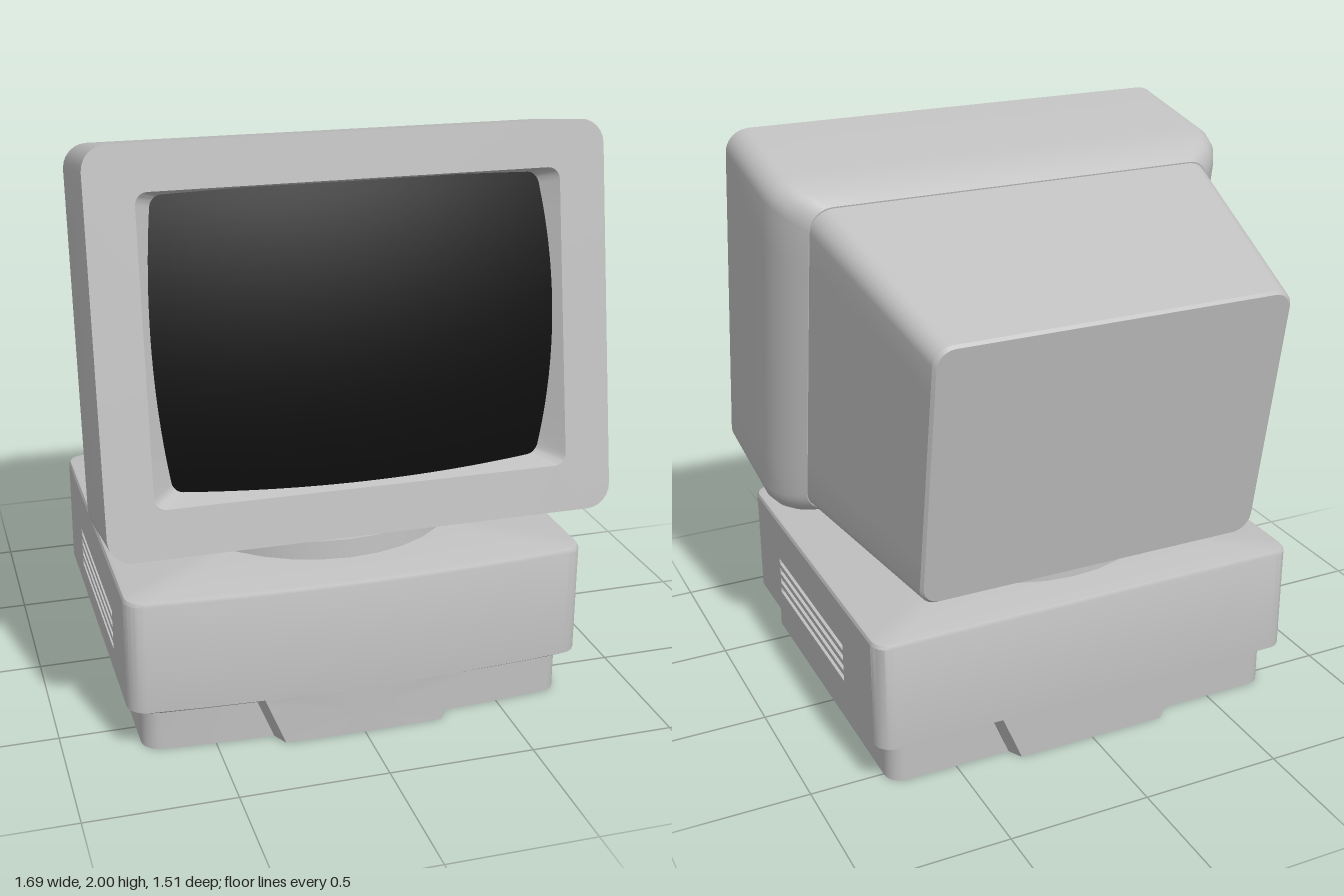
import * as THREE from 'three';
import { toCreasedNormals } from 'three/addons/utils/BufferGeometryUtils.js';

const EDGE = 8; // points along each straight edge
const ARC = 6;  // segments in each rounded corner

// Closed outline with each straight edge subdivided: corners are [cx, cy, radius, start angle]
function outline(corners) {
  const pts = [];
  corners.forEach(([cx, cy, r, a0], k) => {
    const at = (c, a) => [c[0] + c[2] * Math.cos(a), c[1] + c[2] * Math.sin(a)];
    const n = r > 0 ? ARC : 0;
    for (let i = 0; i <= n; i++) pts.push(at(corners[k], a0 + (n ? i / n : 0) * Math.PI / 2));
    const next = corners[(k + 1) % corners.length];
    const p = pts[pts.length - 1], q = at(next, next[3]);
    for (let i = 1; i < EDGE; i++) {
      pts.push([p[0] + (q[0] - p[0]) * i / EDGE, p[1] + (q[1] - p[1]) * i / EDGE]);
    }
  });
  return pts;
}

// Rounded rectangle from -hx to hx and y0 to y1
function roundRect(hx, y0, y1, r) {
  const q = Math.PI / 2;
  return outline([
    [hx - r, y1 - r, r, 0], [-hx + r, y1 - r, r, q],
    [-hx + r, y0 + r, r, 2 * q], [hx - r, y0 + r, r, 3 * q],
  ]);
}

// Skin over [depth, outline] sections along z, capped at both ends; skip leaves quads open
function loft(sections, skip = () => false) {
  const pos = [], idx = [], n = sections[0][1].length;
  for (const [d, pts] of sections) for (const [x, y] of pts) pos.push(x, y, d);
  for (let k = 0; k < sections.length - 1; k++) {
    for (let i = 0; i < n; i++) {
      if (skip(k, i)) continue;
      const j = (i + 1) % n, a = k * n, b = a + n;
      idx.push(a + i, a + j, b + j, a + i, b + j, b + i);
    }
  }
  [0, sections.length - 1].forEach((k, end) => {
    const [d, pts] = sections[k], c = pos.length / 3;
    pos.push(0, pts.reduce((s, p) => s + p[1], 0) / n, d);
    for (let i = 0; i < n; i++) {
      const a = k * n + i, b = k * n + (i + 1) % n;
      if (end) idx.push(c, a, b); else idx.push(c, b, a);
    }
  });
  const g = new THREE.BufferGeometry();
  g.setAttribute('position', new THREE.Float32BufferAttribute(pos, 3));
  g.setIndex(idx);
  return g;
}

// Gentle bow of the front of the base
function bow(g) {
  const p = g.attributes.position;
  for (let i = 0; i < p.count; i++) {
    const x = p.getX(i), z = p.getZ(i);
    if (z > 0) p.setZ(i, z + 0.04 * (1 - (x / 0.79) ** 2) * z / 0.7);
  }
  return g;
}

export function createModel() {
  const casing = new THREE.MeshStandardMaterial({ color: 0xc0c0c0 });
  casing.name = 'casing grey';
  const glass = new THREE.MeshStandardMaterial({ color: 0x0d0d0d });
  glass.name = 'screen black';

  const model = new THREE.Group();
  model.name = 'desktopComputer';
  const add = (parent, name, geometry, material = casing) => {
    const mesh = new THREE.Mesh(geometry, material);
    mesh.name = name;
    parent.add(mesh);
    return mesh;
  };
  const crease = (g) => toCreasedNormals(g, 0.55);

  // Monitor, tilted back about the middle of its front face
  const monitor = new THREE.Group();
  monitor.name = 'monitor';
  monitor.position.set(0, 1.3675, 0.6425);
  monitor.rotation.x = -0.175;
  model.add(monitor);

  // Front housing: rounded back edge, flat bezel, tapered screen recess
  const shoulder = [[-0.575, 0.1], [-0.555, 0.075], [-0.52, 0.042], [-0.47, 0.014], [-0.41, 0]];
  add(monitor, 'frontHousing', crease(loft([
    ...shoulder.map(([d, s]) => [d, roundRect(0.845 - s, -0.6425 + s / 2, 0.6425 - s / 2, 0.08)]),
    [0, roundRect(0.845, -0.6425, 0.6425, 0.08)],
    [0, roundRect(0.69, -0.485, 0.495, 0.04)],
    [-0.12, roundRect(0.57, -0.43, 0.465, 0.03)],
  ])));

  // Tapered rear shell
  add(monitor, 'rearShell', crease(loft([
    [-1.335, roundRect(0.617, -0.47, 0.47, 0.06)],
    [-1.325, roundRect(0.627, -0.479, 0.479, 0.065)],
    [-0.56, roundRect(0.745, -0.59, 0.59, 0.08)],
  ])));

  // Bulging screen, trimmed by the recess walls
  const screen = new THREE.PlaneGeometry(1.36, 0.97, 28, 20).translate(0, 0.005, 0);
  const sp = screen.attributes.position;
  for (let i = 0; i < sp.count; i++) {
    sp.setZ(i, 0.035 - 0.136 * sp.getX(i) ** 2 - 0.22 * (sp.getY(i) - 0.07) ** 2);
  }
  screen.computeVertexNormals();
  add(monitor, 'screen', screen, glass);

  // Swivel stand
  add(model, 'swivelNeck', new THREE.CylinderGeometry(0.22, 0.22, 0.2, 32)).position.set(0, 0.7, 0.055);
  add(model, 'swivelDisc', new THREE.CylinderGeometry(0.505, 0.51, 0.07, 32)).position.set(0, 0.595, 0.05);

  // Base: sections run upwards, with the sides left open for the vent panels
  const base = new THREE.Group();
  base.name = 'base';
  model.add(base);
  const footprint = (inset, r = 0.06) => roundRect(0.79 - inset, -0.7 + inset, 0.615 - inset, r);
  const step = ARC + EDGE;
  const isSide = (i) => {
    const side = Math.floor(i / step);
    return side % 2 === 1 && i % step >= ARC;
  };
  const upright = (g) => crease(bow(g.rotateX(-Math.PI / 2)));
  add(base, 'baseBody', upright(loft([
    [0.14, footprint(0.045)], [0.17, footprint(0)], [0.55, footprint(0)],
    [0.561, footprint(0.005)], [0.565, footprint(0.016)],
  ], (k, i) => k === 1 && isSide(i))));
  add(base, 'plinth', upright(loft([[0, footprint(0.05)], [0.145, footprint(0.05)]])));

  // Side panels with four recessed vent slots
  const rect = (T, x0, x1, y0, y1) => {
    const s = new T();
    s.moveTo(x0, y0).lineTo(x1, y0).lineTo(x1, y1).lineTo(x0, y1).closePath();
    return s;
  };
  for (const side of [1, -1]) {
    const flip = (a, b) => (side > 0 ? [-b, -a] : [a, b]);
    const panel = rect(THREE.Shape, ...flip(-0.555, 0.64), 0.17, 0.55);
    for (let i = 0; i < 4; i++) {
      const y = 0.255 + i * 0.0405;
      panel.holes.push(rect(THREE.Path, ...flip(-0.28, 0.405), y, y + 0.022));
    }
    const name = side > 0 ? 'left' : 'right';
    const g = new THREE.ExtrudeGeometry(panel, { depth: 0.025, bevelEnabled: false });
    g.translate(0, 0, 0.765).rotateY(side * Math.PI / 2);
    add(base, name + 'VentPanel', g);
    const back = new THREE.PlaneGeometry(0.75, 0.2).rotateY(side * Math.PI / 2);
    add(base, name + 'VentBacking', back).position.set(side * 0.766, 0.33, 0.06);
  }

  // Trapezoid aprons with chamfered flanks, front and back
  const trapezoid = (e) => outline([
    [0.345 + e, 0.17, 0, 0], [-0.345 - e, 0.17, 0, 0], [-0.275 - e, 0, 0, 0], [0.275 + e, 0, 0, 0],
  ]);
  const apron = (root, face) => loft([[root, trapezoid(0.03)], [face, trapezoid(0)]]);
  add(base, 'frontApron', crease(bow(apron(0.645, 0.7))));
  add(base, 'backApron', crease(apron(0.56, 0.615).rotateY(Math.PI)));

  return model;
}
